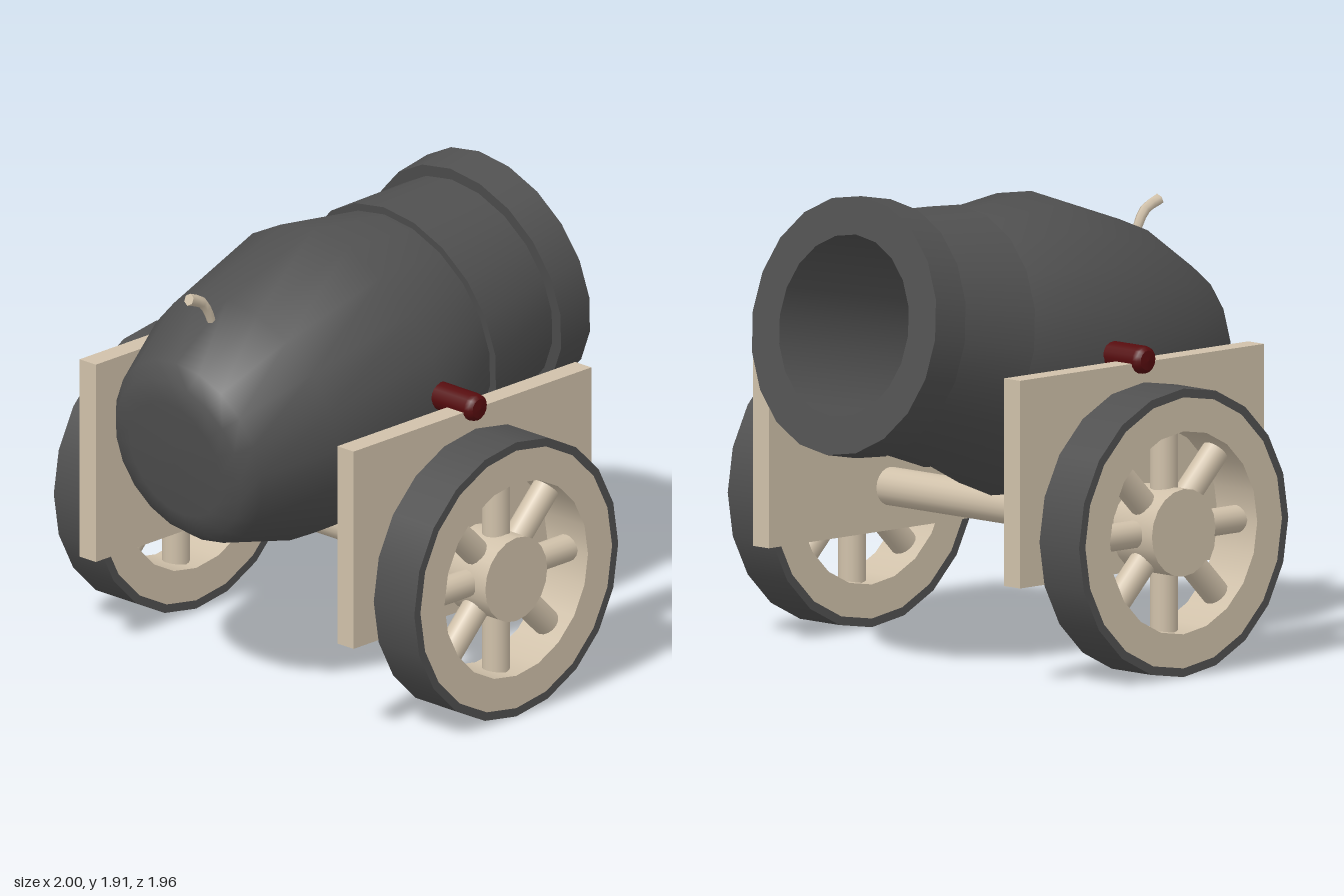
import * as THREE from 'three';
import { mergeGeometries } from 'three/addons/utils/BufferGeometryUtils.js';

export function createModel() {
  const model = new THREE.Group();
  model.name = 'cannon';

  const mat = (name, color) => {
    const m = new THREE.MeshStandardMaterial({ color });
    m.name = name;
    return m;
  };
  const iron = mat('darkIron', 0x505050);
  const wood = mat('paleWood', 0xd0c1aa);
  const red = mat('darkRed', 0x560c0e);

  const add = (parent, name, geometry, material, x = 0, y = 0, z = 0) => {
    const mesh = new THREE.Mesh(geometry, material);
    mesh.name = name;
    mesh.position.set(x, y, z);
    parent.add(mesh);
    return mesh;
  };

  // Turned shape: each section is smooth inside and sharp against the next
  const turned = (sections, sides = 20) => mergeGeometries(sections.map(
    (s) => new THREE.LatheGeometry(s.map(([r, h]) => new THREE.Vector2(r, h)), sides)));

  const axleY = 0.582, axleZ = 0.037, barrelX = -0.013;

  // Barrel, built along y from breech to muzzle face, then tilted back
  const barrel = new THREE.Group();
  barrel.name = 'barrel';
  barrel.position.set(barrelX, 1.405, -0.885);
  barrel.rotation.x = -1.387;
  model.add(barrel);

  add(barrel, 'barrelBody', turned([[
    [0, -1.857], [0.25, -1.855], [0.345, -1.835], [0.4, -1.775],
    [0.535, -1.454], [0.61, -0.942], [0.49, -0.54],
  ]]), iron);
  add(barrel, 'barrelBand', turned([
    [[0.47, -0.551], [0.526, -0.551]],
    [[0.526, -0.551], [0.469, -0.16]],
  ]), iron);
  add(barrel, 'muzzleRing', turned([
    [[0.45, -0.167], [0.519, -0.167]],
    [[0.519, -0.167], [0.519, 0]],
    [[0.519, 0], [0.365, 0]],
  ]), iron);
  add(barrel, 'bore', turned([
    [[0.365, 0], [0.365, -1.2]],
    [[0.365, -1.2], [0, -1.2]],
  ]), iron);

  // Fuse: a thin flared stick bent along a curve in the yz plane
  const fusePath = new THREE.CatmullRomCurve3([
    new THREE.Vector3(0, 1.56, 0.72), new THREE.Vector3(0, 1.63, 0.745),
    new THREE.Vector3(0, 1.69, 0.785), new THREE.Vector3(0, 1.722, 0.86),
  ]);
  const stick = new THREE.CylinderGeometry(0.025, 0.017, 1, 6, 6);
  const pos = stick.attributes.position;
  for (let i = 0; i < pos.count; i++) {
    const t = pos.getY(i) + 0.5;
    const p = fusePath.getPoint(t), d = fusePath.getTangent(t);
    const side = pos.getZ(i);
    pos.setXYZ(i, pos.getX(i), p.y - d.z * side, p.z + d.y * side);
  }
  stick.computeVertexNormals();
  add(model, 'fuse', stick, wood, barrelX);

  // Axle between the wheels
  add(model, 'axle', new THREE.CylinderGeometry(0.077, 0.077, 1.6, 20), wood, 0, axleY, axleZ)
    .rotation.z = -Math.PI / 2;

  // Wheel cross-sections, turned around the axle
  const w = 0.1125;
  const tyre = turned([
    [[0.545, -w], [0.58, -w]],
    [[0.58, -w], [0.58, w]],
    [[0.58, w], [0.545, w]],
  ]);
  const rim = turned([
    [[0.408, -w], [0.545, -w]],
    [[0.545, w], [0.408, w]],
    [[0.408, w], [0.408, -w]],
  ]);
  const hub = new THREE.CylinderGeometry(0.176, 0.176, 2 * w, 20);
  const spoke = new THREE.CylinderGeometry(0.056, 0.056, 0.3, 16);
  const pin = turned([
    [[0.057, 0.45], [0.057, 0.765], [0.053, 0.785], [0.04, 0.797]],
    [[0.04, 0.797], [0, 0.802]],
  ], 16);

  for (const [label, s] of [['left', 1], ['right', -1]]) {
    const wheel = new THREE.Group();
    wheel.name = label + 'Wheel';
    wheel.position.set(s * (1 - w), axleY, axleZ);
    wheel.rotation.z = -s * Math.PI / 2;
    model.add(wheel);
    add(wheel, 'tyre', tyre, iron);
    add(wheel, 'rim', rim, wood);
    add(wheel, 'hub', hub, wood);
    for (let i = 0; i < 8; i++) {
      const a = i * Math.PI / 4;
      const m = add(wheel, 'spoke', spoke, wood, Math.sin(a) * 0.285, 0, Math.cos(a) * 0.285);
      m.rotation.set(Math.PI / 2, 0, -a);
    }

    // Carriage side plate and the pin resting on it
    add(model, label + 'SidePlate', new THREE.BoxGeometry(0.09, 0.835, 1.353), wood,
      s * 0.715, 0.8225, 0.04);
    add(model, label + 'Pin', pin, red, 0, 1.252, axleZ).rotation.z = -s * Math.PI / 2;
  }
  return model;
}
